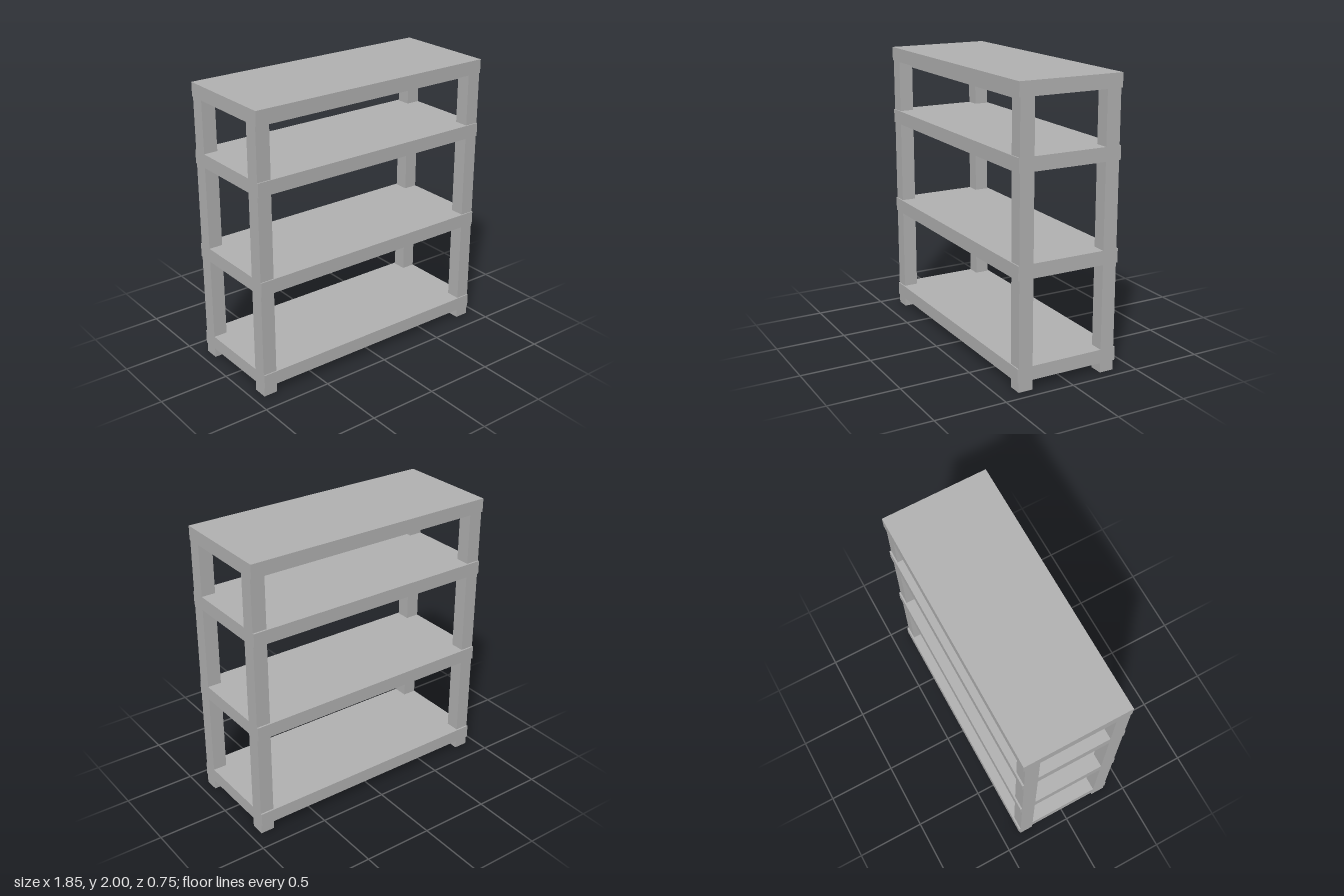
import * as THREE from 'three';

export function createModel() {
  const model = new THREE.Group();
  model.name = 'shelvingUnit';
  const grey = new THREE.MeshStandardMaterial({ color: 0xb2b2b2 });
  grey.name = 'grey';

  // Box given by its lower and upper limits on each axis
  function addBox(name, [x0, x1], [y0, y1], [z0, z1]) {
    const mesh = new THREE.Mesh(new THREE.BoxGeometry(x1 - x0, y1 - y0, z1 - z0), grey);
    mesh.name = name;
    mesh.position.set((x0 + x1) / 2, (y0 + y1) / 2, (z0 + z1) / 2);
    model.add(mesh);
  }

  const halfWidth = 0.925, halfDepth = 0.374, post = 0.1;
  const inner = halfWidth - post;
  const shelves = [[0.068, 0.164], [0.755, 0.853], [1.441, 1.537], [1.903, 2]];

  let floor = 0;
  shelves.forEach(([bottom, top], i) => {
    addBox('shelf', [-halfWidth, halfWidth], [bottom, top], [-halfDepth, halfDepth]);

    // Four post sections below each shelf, set slightly in from front and back
    for (const x of [[-halfWidth, -inner], [inner, halfWidth]]) {
      addBox('frontPost', x, [floor, bottom], [0.264, 0.366]);
      addBox('backPost', x, [floor, bottom], [-0.362, -0.26]);
    }

    // Support batten behind the front posts, under the upper shelves
    if (i > 0) addBox('batten', [-inner, inner], [bottom - 0.05, bottom], [0.226, 0.264]);
    floor = top;
  });

  return model;
}
